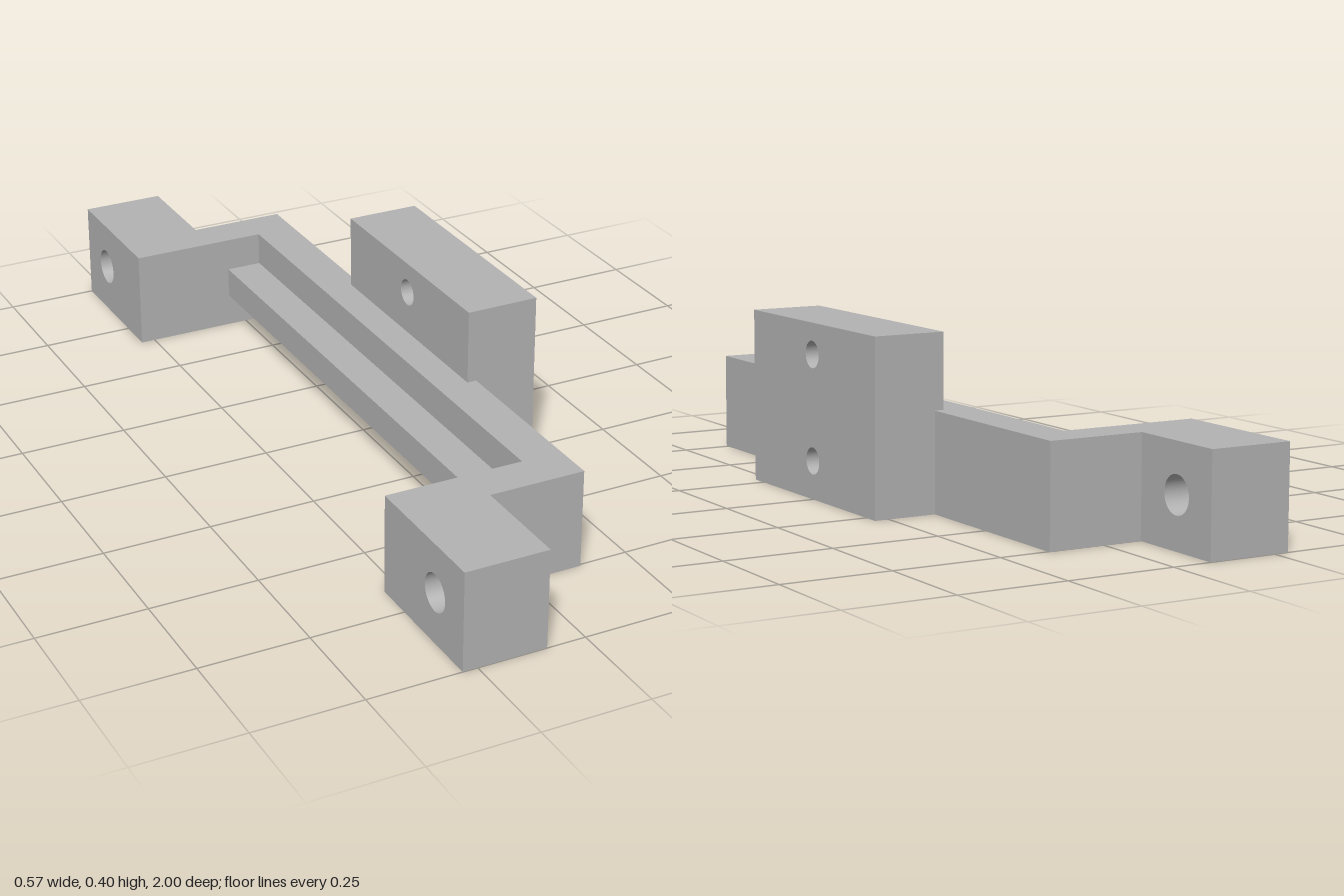
import * as THREE from 'three';

const grey = new THREE.MeshStandardMaterial({ color: 0xb3b3b3 });
grey.name = 'grey';

export function createModel() {
  const model = new THREE.Group();
  model.name = 'mountingBracket';

  const add = (name, geometry) => {
    const mesh = new THREE.Mesh(geometry, grey);
    mesh.name = name;
    model.add(mesh);
    return mesh;
  };

  // Block drilled along x; holes are [z, y, radius]
  const drilledBlock = (name, x0, x1, z0, z1, height, holes) => {
    const shape = new THREE.Shape([
      [-z1, 0], [-z0, 0], [-z0, height], [-z1, height],
    ].map(([a, b]) => new THREE.Vector2(a, b)));
    for (const [z, y, r] of holes) {
      shape.holes.push(new THREE.Path().absarc(-z, y, r, 0, Math.PI * 2, true));
    }
    const geometry = new THREE.ExtrudeGeometry(shape, { depth: x1 - x0, bevelEnabled: false, curveSegments: 32 });
    geometry.rotateY(Math.PI / 2).translate(x0, 0, 0);
    return add(name, geometry);
  };

  // U-shaped bar with two return arms
  const outline = [
    [-0.284, -0.755], [0.135, -0.755], [0.135, 0.755], [-0.284, 0.755],
    [-0.284, 0.66], [0.04, 0.66], [0.04, -0.66], [-0.284, -0.66],
  ].map(([x, z]) => new THREE.Vector2(x, z));
  const bar = new THREE.ExtrudeGeometry(new THREE.Shape(outline), { depth: 0.23, bevelEnabled: false });
  add('bar', bar.rotateX(-Math.PI / 2));

  // Stiffening rib along the inner face
  add('rib', new THREE.BoxGeometry(0.085, 0.072, 1.32)).position.set(-0.0025, 0.115, 0);

  // Drilled end lugs
  drilledBlock('frontLug', -0.284, -0.09, 0.755, 1, 0.23, [[0.88, 0.118, 0.043]]);
  drilledBlock('backLug', -0.284, -0.09, -1, -0.755, 0.23, [[-0.88, 0.118, 0.043]]);

  // Centre plate; the bar closes the inner end of its lower hole
  drilledBlock('centrePlate', 0.113, 0.284, -0.29, 0.29, 0.402, [[0, 0.33, 0.031], [0, 0.088, 0.031]]);

  return model;
}
